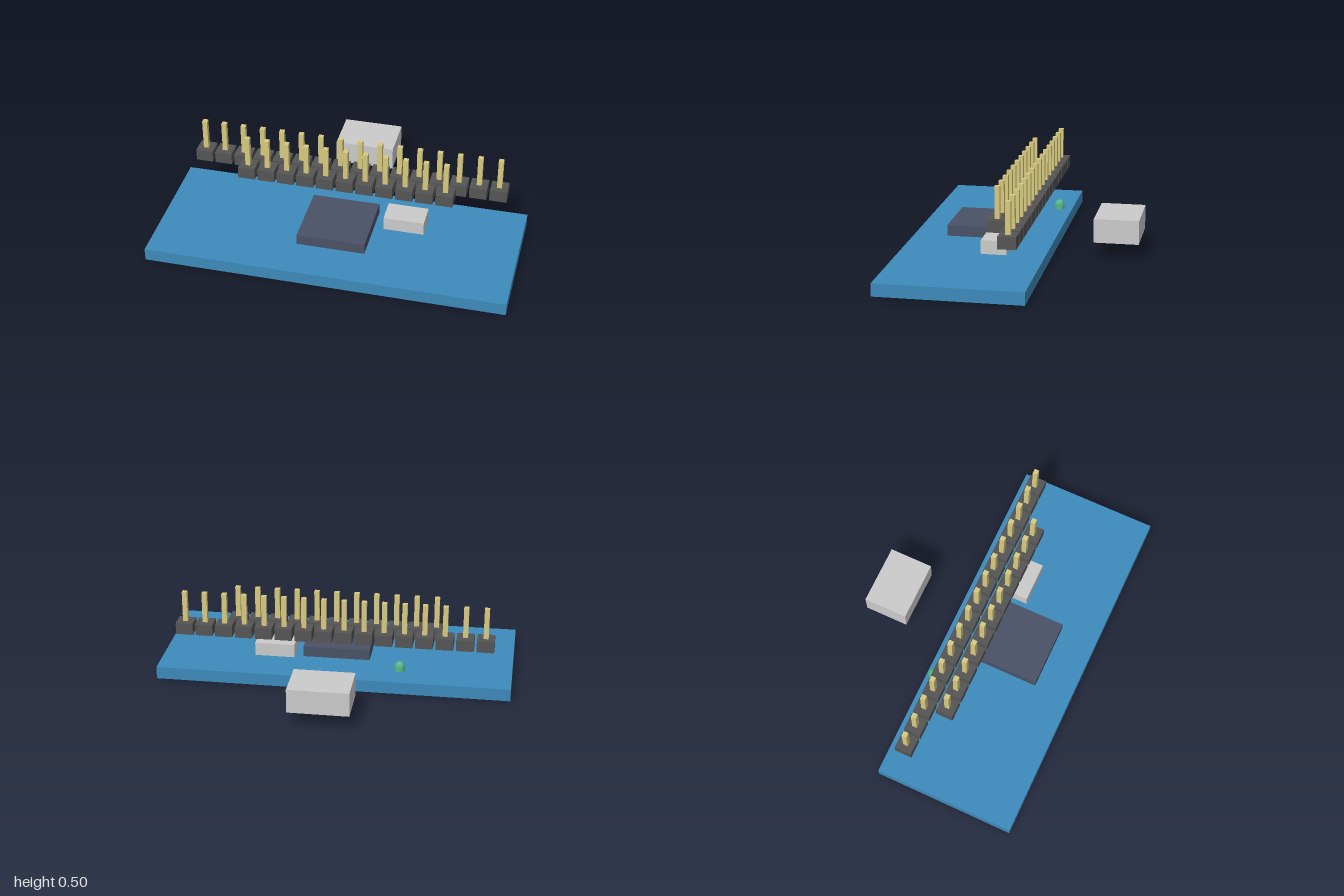
import * as THREE from 'three';

const material = (color) => new THREE.MeshStandardMaterial({ color });

export function createModel() {
  const model = new THREE.Group();
  const blue = material(0x3d8abb);
  const slate = material(0x4a5266);
  const grey = material(0xcccccc);
  const black = material(0x555555);
  const gold = material(0xd8ca80);
  const green = material(0x55bb88);

  // Box given by its centre in x and z, its bottom and its size
  const box = (name, mat, x, bottom, z, w, h, d, parent = model) => {
    const mesh = new THREE.Mesh(new THREE.BoxGeometry(w, h, d), mat);
    mesh.name = name;
    mesh.position.set(x, bottom + h / 2, z);
    parent.add(mesh);
    return mesh;
  };

  // Circuit board and the components floating around it
  box('circuitBoard', blue, 0, 0, 0.24, 2, 0.071, 0.8);
  box('processorChip', slate, -0.002, 0.096, 0.239, 0.38, 0.061, 0.38);
  box('crystal', grey, 0.353, 0.089, 0.11, 0.227, 0.077, 0.14);
  box('usbSocket', grey, 0, 0.094, -0.515, 0.338, 0.135, 0.25);

  // Pin headers: a plastic block with a square pin for each position
  const pitch = 0.1128;
  const headerRow = (name, count, z) => {
    const row = new THREE.Group();
    row.name = name;
    for (let i = 0; i < count; i++) {
      const x = (i - (count - 1) / 2) * pitch - 0.002;
      box('headerBlock', black, x, 0.255, z, 0.097, 0.067, 0.097, row);
      box('headerPin', gold, x, 0.3, z, 0.028, 0.199, 0.028, row);
    }
    model.add(row);
  };
  headerRow('backHeader', 16, -0.046);
  headerRow('frontHeader', 11, 0.067);

  // Indicator light: round collar with a dome on top
  const light = new THREE.Group();
  light.name = 'indicatorLight';
  light.position.set(-0.38, 0.126, -0.114);
  const collar = new THREE.Mesh(new THREE.CylinderGeometry(0.029, 0.029, 0.027, 16), green);
  collar.name = 'lightCollar';
  collar.position.y = 0.0135;
  const dome = new THREE.Mesh(
    new THREE.SphereGeometry(0.026, 16, 8, 0, Math.PI * 2, 0, Math.PI / 2), green);
  dome.name = 'lightDome';
  dome.position.y = 0.027;
  light.add(collar, dome);
  model.add(light);

  return model;
}
